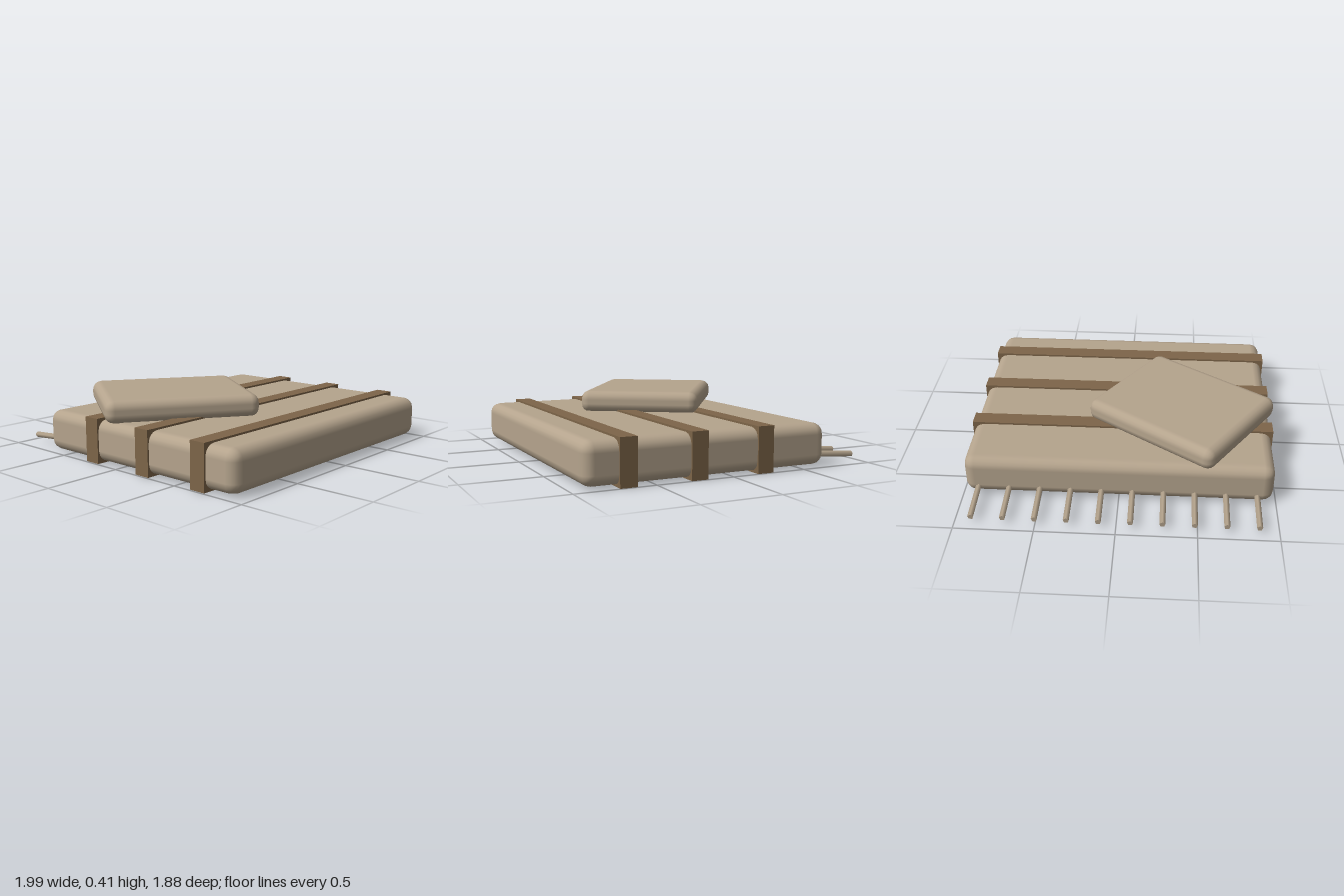
import * as THREE from 'three';
import { RoundedBoxGeometry } from 'three/addons/geometries/RoundedBoxGeometry.js';

export function createModel() {
  const group = new THREE.Group();
  const cloth = new THREE.MeshStandardMaterial({ name: 'beige cloth', color: 0xb5a48d });
  const leather = new THREE.MeshStandardMaterial({ name: 'brown strap', color: 0x7d6549 });

  function add(name, geometry, material, x, y, z) {
    const mesh = new THREE.Mesh(geometry, material);
    mesh.name = name;
    mesh.position.set(x, y, z);
    group.add(mesh);
    return mesh;
  }

  // Padded mat
  add('mat', new RoundedBoxGeometry(1.965, 0.265, 1.612, 2, 0.07), cloth, 0.003, 0.143, 0.13);

  // Straps wrapped around the mat
  const strap = new THREE.BoxGeometry(1.985, 0.288, 0.107);
  for (const z of [0.67, 0.222, -0.226]) add('strap', strap, leather, 0.003, 0.144, z);

  // Pillow lying askew on top
  const pillow = add('pillow', new RoundedBoxGeometry(0.98, 0.148, 0.807, 2, 0.06), cloth, -0.39, 0.34, -0.11);
  pillow.rotation.y = -0.6;

  // Fringe along the back edge, drooping slightly
  const droop = 0.075, length = 0.34;
  const tassel = new THREE.CylinderGeometry(0.0195, 0.0195, length, 5);
  for (let i = 0; i < 10; i++) {
    const mesh = add('tassel', tassel, cloth, -0.875 + i * 0.1967,
      0.046 + Math.sin(droop) * length / 2, -0.944 + Math.cos(droop) * length / 2);
    mesh.rotation.x = -Math.PI / 2 - droop;
  }
  return group;
}
